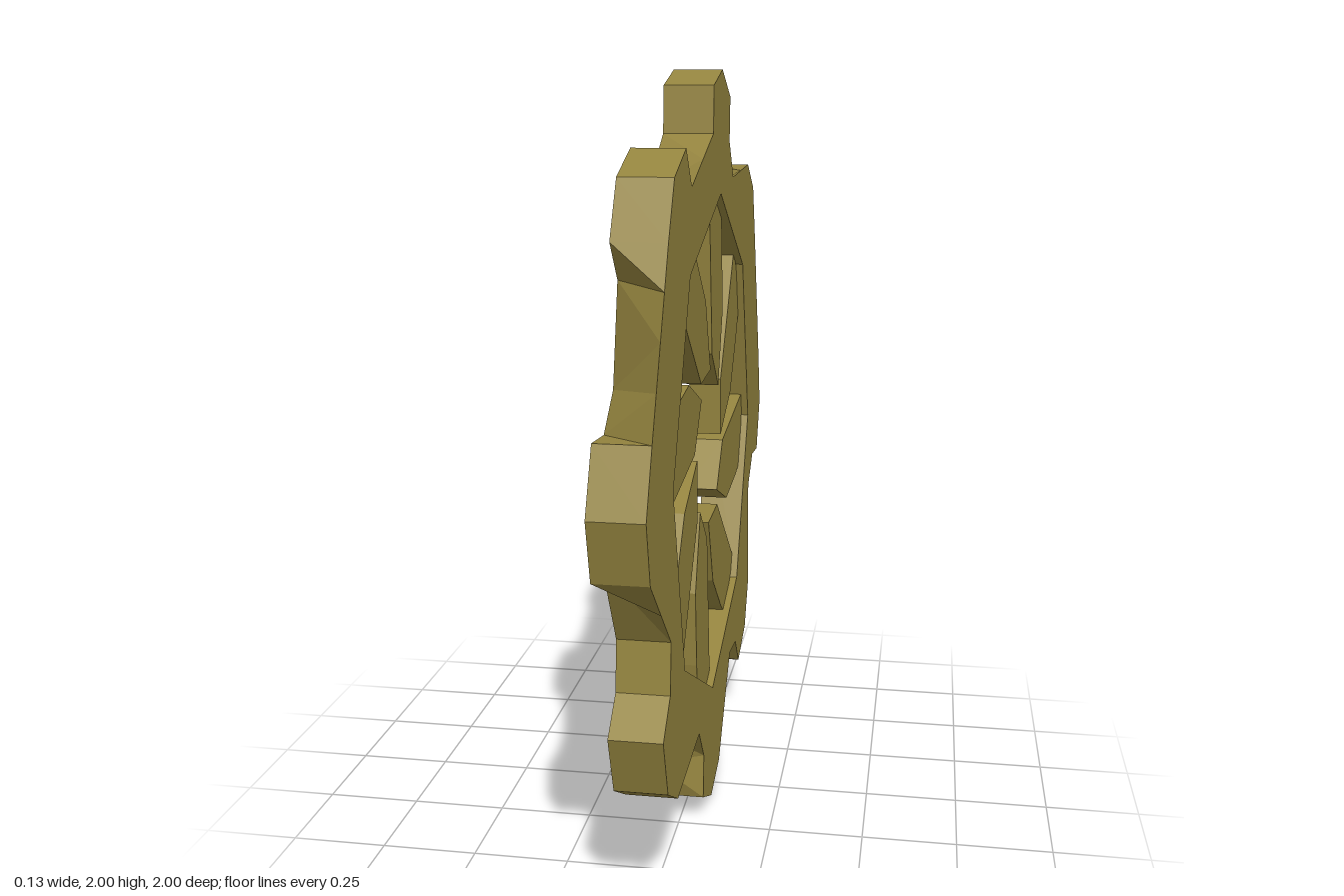
import * as THREE from 'three';

const HALF = 0.065; // half thickness of the rim
const TEETH = 8;

// turn [u, v] clockwise by k eighths of a circle
const turn = ([u, v], k) => {
  const a = (-k * 2 * Math.PI) / TEETH;
  return [u * Math.cos(a) - v * Math.sin(a), u * Math.sin(a) + v * Math.cos(a)];
};
const ringOf = (unit) =>
  Array.from({ length: TEETH }, (_, k) => unit.map((p) => turn(p, k))).flat();

// flatten runs of points onto the chord between their neighbours
function filled(points, runs) {
  const out = points.map((p) => [...p]);
  const n = points.length;
  for (const [start, count] of runs) {
    const a = points[(start - 1 + n) % n];
    const b = points[(start + count) % n];
    for (let i = 0; i < count; i++) {
      const t = (i + 1) / (count + 1);
      out[(start + i) % n] = [a[0] + (b[0] - a[0]) * t, a[1] + (b[1] - a[1]) * t];
    }
  }
  return out;
}

const shapeOf = (points) => new THREE.Shape(points.map((p) => new THREE.Vector2(...p)));

function cap(outline, hole) {
  const shape = shapeOf(outline);
  shape.holes.push(shapeOf(hole));
  return new THREE.ShapeGeometry(shape).translate(0, 0, HALF);
}

// ruled wall between two matching loops
function wall(front, back) {
  const pos = [];
  const n = front.length;
  for (let i = 0; i < n; i++) {
    const j = (i + 1) % n;
    const a = [...front[i], HALF], b = [...front[j], HALF];
    const c = [...back[j], -HALF], d = [...back[i], -HALF];
    pos.push(...a, ...b, ...c, ...a, ...c, ...d);
  }
  const g = new THREE.BufferGeometry();
  g.setAttribute('position', new THREE.Float32BufferAttribute(pos, 3));
  g.computeVertexNormals();
  return g;
}

export function createModel() {
  const brass = new THREE.MeshStandardMaterial({ color: 0x94843f, flatShading: true });
  brass.name = 'oldBrass';

  const model = new THREE.Group();
  model.name = 'gearWheel';
  const wheel = new THREE.Group();
  wheel.name = 'wheel';
  wheel.rotation.y = Math.PI / 2;
  wheel.position.y = 1;
  model.add(wheel);

  const add = (name, geometry, parent = wheel) => {
    const mesh = new THREE.Mesh(geometry, brass);
    mesh.name = name;
    parent.add(mesh);
    return mesh;
  };

  // toothed rim: the gaps between teeth are worn differently on each face
  const gear = ringOf([
    [-0.08, 0.84], [-0.07, 0.96], [0.08, 1], [0.23, 0.93], [0.22, 0.81], [0.3, 0.71],
  ]);
  const front = filled(gear, [
    [6, 1], [10, 3], [18, 1], [24, 1], [30, 1], [36, 1], [40, 3], [47, 1],
  ]);
  const back = filled(gear, [[4, 1], [22, 1], [28, 1]]);
  const hole = ringOf([[0.06, 0.68]]);
  const flip = (points) => points.map(([u, v]) => [-u, v]);

  const rim = new THREE.Group();
  rim.name = 'rim';
  wheel.add(rim);
  add('rimFrontFace', cap(front, hole), rim);
  add('rimBackFace', cap(flip(back), flip(hole)).rotateY(Math.PI), rim);
  add('rimTeeth', wall(front, back), rim);
  const inner = [...hole].reverse();
  add('rimInnerWall', wall(inner, inner), rim);

  // curved spokes, slightly thinner than the rim, not meeting in the middle
  const spoke = new THREE.ExtrudeGeometry(
    shapeOf([[-0.015, 0.69], [0.04, 0.25], [0.16, 0.14], [0.24, 0.34], [0.22, 0.55], [0.2, 0.64]]),
    { depth: 0.09, bevelEnabled: false },
  ).translate(0, 0, -0.045);
  for (let k = 0; k < TEETH; k++) {
    add(`spoke${k + 1}`, spoke).rotation.z = (-k * 2 * Math.PI) / TEETH;
  }
  return model;
}
